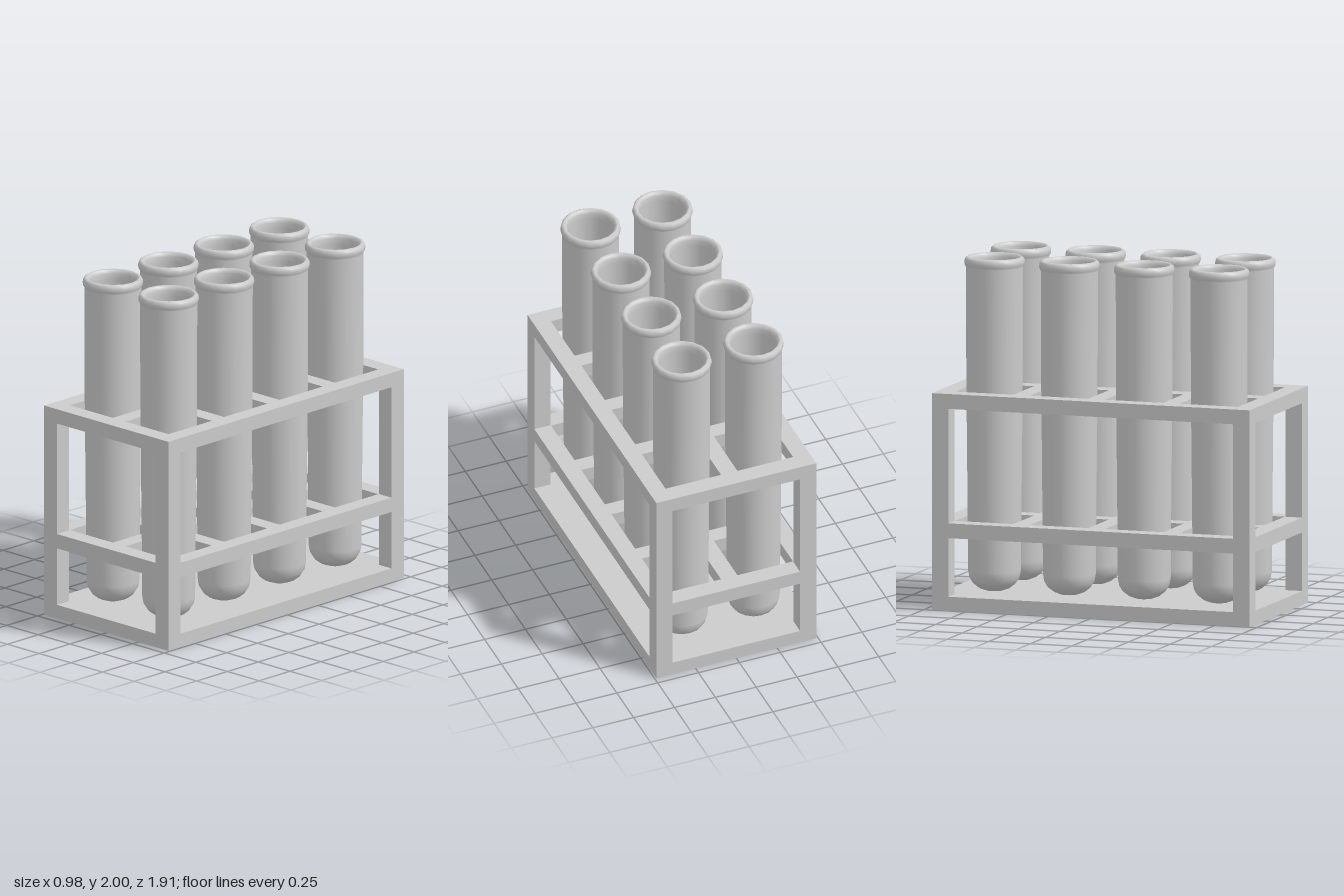
import * as THREE from 'three';

const material = new THREE.MeshStandardMaterial({ color: 0xcccccc });
const W = 0.49, D = 0.955;              // half width and half depth of the rack
const POST = 0.1;                       // square corner post
const COLUMNS = [-0.22, 0.22];
const ROWS = [-0.675, -0.225, 0.225, 0.675];

function add(parent, name, geometry, x = 0, y = 0, z = 0) {
  const mesh = new THREE.Mesh(geometry, material);
  mesh.name = name;
  mesh.position.set(x, y, z);
  parent.add(mesh);
  return mesh;
}

function rectangle(Path, x, y, halfX, halfY) {
  return new Path([
    new THREE.Vector2(x - halfX, y - halfY),
    new THREE.Vector2(x + halfX, y - halfY),
    new THREE.Vector2(x + halfX, y + halfY),
    new THREE.Vector2(x - halfX, y + halfY),
  ]);
}

// Plate with a grid of square holes, lying flat
function shelfGeometry(thickness) {
  const shape = rectangle(THREE.Shape, 0, 0, W, D);
  for (const x of COLUMNS) {
    for (const z of ROWS) shape.holes.push(rectangle(THREE.Path, x, z, 0.17, 0.175));
  }
  return new THREE.ExtrudeGeometry(shape, { depth: thickness, bevelEnabled: false }).rotateX(-Math.PI / 2);
}

// Hollow tube: rounded outer bottom, tapered wall, rolled lip, rounded inner bottom
function tubeGeometry() {
  const points = [
    [0, 0.085], [0.05, 0.09], [0.09, 0.105], [0.122, 0.13], [0.142, 0.162], [0.15, 0.205],
    [0.152, 0.5], [0.16, 1.3], [0.162, 1.94],
    [0.169, 1.952], [0.172, 1.97], [0.168, 1.99], [0.155, 2], [0.142, 1.993], [0.134, 1.975],
    [0.132, 1.94], [0.13, 1.3], [0.125, 0.23],
    [0.115, 0.185], [0.09, 0.15], [0.05, 0.125], [0, 0.115],
  ].map(([r, y]) => new THREE.Vector2(r, y));
  return new THREE.LatheGeometry(points, 16);
}

export function createModel() {
  const model = new THREE.Group();
  model.name = 'testTubeRack';

  // Rack
  const rack = new THREE.Group();
  rack.name = 'rack';
  model.add(rack);
  add(rack, 'base', new THREE.BoxGeometry(2 * W, 0.08, 2 * D), 0, 0.04, 0);
  const shelf = shelfGeometry(0.085);
  add(rack, 'middleShelf', shelf, 0, 0.415, 0);
  add(rack, 'topShelf', shelf, 0, 1.155, 0);

  // Corner posts, in sections between the plates
  for (const [bottom, top] of [[0.08, 0.415], [0.5, 1.155]]) {
    const post = new THREE.BoxGeometry(POST, top - bottom, POST);
    for (const sx of [-1, 1]) {
      for (const sz of [-1, 1]) {
        add(rack, 'cornerPost', post, sx * (W - POST / 2), (bottom + top) / 2, sz * (D - POST / 2));
      }
    }
  }

  // Tubes, one in each hole
  const tubes = new THREE.Group();
  tubes.name = 'tubes';
  model.add(tubes);
  const tube = tubeGeometry();
  for (const x of COLUMNS) {
    for (const z of ROWS) add(tubes, 'testTube', tube, x, 0, z);
  }
  return model;
}
